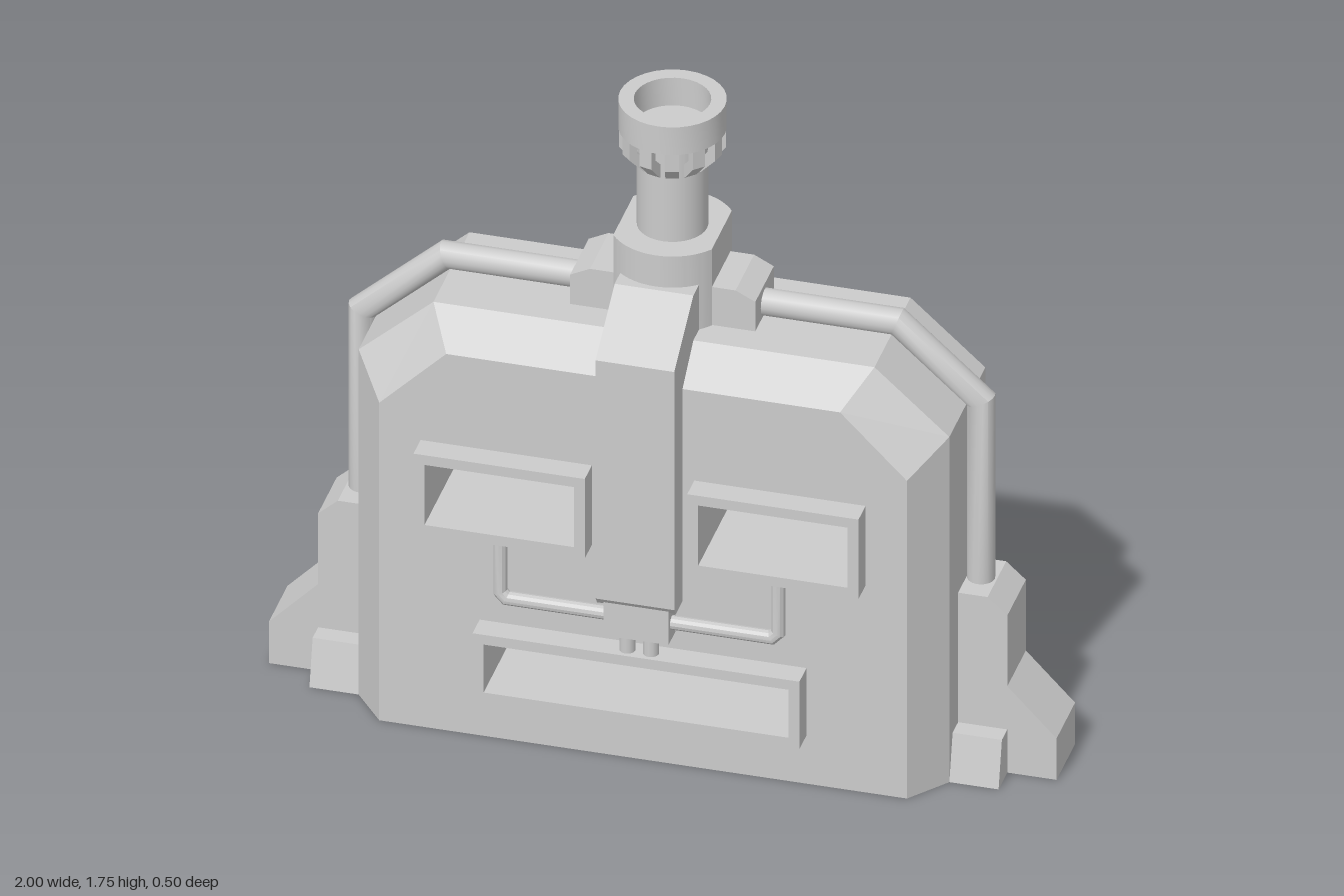
import * as THREE from 'three';
import { toCreasedNormals } from 'three/addons/utils/BufferGeometryUtils.js';

const flat = new THREE.MeshStandardMaterial({ color: 0xcccccc, flatShading: true });
const smooth = new THREE.MeshStandardMaterial({ color: 0xcccccc });
const shell = new THREE.MeshStandardMaterial({ color: 0xcccccc, flatShading: true, side: THREE.DoubleSide });

function add(parent, name, geometry, material = flat) {
  const mesh = new THREE.Mesh(geometry, material);
  mesh.name = name;
  parent.add(mesh);
  return mesh;
}

const shapeOf = (pts) => new THREE.Shape(pts.map(([x, y]) => new THREE.Vector2(x, y)));
const rect = (x0, y0, x1, y1) => [[x0, y0], [x1, y0], [x1, y1], [x0, y1]];

// Front outline (x, y) pushed from z0 to z1
const extrudeZ = (shape, z0, z1) =>
  new THREE.ExtrudeGeometry(shape, { depth: z1 - z0, bevelEnabled: false, curveSegments: 16 }).translate(0, 0, z0);

// Side outline (z, y) pushed from x0 to x1
const extrudeX = (pts, x0, x1) =>
  new THREE.ExtrudeGeometry(shapeOf(pts), { depth: x1 - x0, bevelEnabled: false }).rotateY(-Math.PI / 2).translate(x1, 0, 0);

// Pipe with mitred bends along a path in the x-y plane
function mitredPipe(path, radius, z, sides = 16) {
  const P = path.map(([x, y]) => new THREE.Vector2(x, y));
  const pos = [], index = [];
  P.forEach((p, i) => {
    const a = i > 0 ? p.clone().sub(P[i - 1]).normalize() : null;
    const b = i < P.length - 1 ? P[i + 1].clone().sub(p).normalize() : null;
    const t = (a && b ? a.clone().add(b) : a || b).clone().normalize();
    const stretch = 1 / t.dot(a || b);
    for (let k = 0; k <= sides; k++) {
      const ang = (k / sides) * Math.PI * 2;
      const c = Math.cos(ang) * radius * stretch;
      pos.push(p.x - t.y * c, p.y + t.x * c, z + Math.sin(ang) * radius);
      if (i && k) {
        const q = i * (sides + 1) + k, r = q - sides - 1;
        index.push(r - 1, q, r, r - 1, q - 1, q);
      }
    }
  });
  const g = new THREE.BufferGeometry();
  g.setAttribute('position', new THREE.Float32BufferAttribute(pos, 3));
  // ring runs normal -> +z, so the winding is reversed to face outward
  g.setIndex(index.reverse());
  return toCreasedNormals(g, 0.5);
}

// Half outline mirrored to a closed counter-clockwise loop
const mirrorLoop = (half) => [...half, ...half.map(([x, y]) => [-x, y]).reverse()];

// Recesses: [x0, y0, x1, y1] of each outer frame
const frames = { rightEye: [-0.565, 0.6, -0.13, 0.83], leftEye: [0.13, 0.6, 0.565, 0.83], mouth: [-0.415, 0.14, 0.415, 0.335] };
const inset = ([x0, y0, x1, y1], d = 0.028) => rect(x0 + d, y0 + d, x1 - d, y1 - d);

function buildBody(root) {
  const body = new THREE.Group();
  body.name = 'body';
  root.add(body);
  const outer = mirrorLoop([[0.75, 0], [0.75, 1], [0.56, 1.17]]);
  const inner = mirrorLoop([[0.67, 0], [0.67, 0.92], [0.5, 1.09]]);
  const back = extrudeZ(shapeOf(outer), -0.25, -0.21);
  add(body, 'backPlate', back);

  // Side walls and bevel lofted through three outlines
  const rings = [[outer, -0.21], [outer, 0.08], [inner, 0.18]];
  const pos = [];
  for (let r = 0; r < 2; r++) {
    const [A, za] = rings[r], [B, zb] = rings[r + 1];
    A.forEach((_, i) => {
      const j = (i + 1) % A.length;
      const a = [...A[i], za], b = [...A[j], za], c = [...B[j], zb], d = [...B[i], zb];
      pos.push(...a, ...b, ...c, ...a, ...c, ...d);
    });
  }
  const walls = new THREE.BufferGeometry();
  walls.setAttribute('position', new THREE.Float32BufferAttribute(pos, 3));
  walls.computeVertexNormals();
  add(body, 'bevelledWalls', walls);

  // Front face with openings, and a deep frame around each opening
  const face = shapeOf(inner);
  for (const [name, f] of Object.entries(frames)) {
    const hole = inset(f).map(([x, y]) => new THREE.Vector2(x, y));
    face.holes.push(new THREE.Path(hole));
    const frame = shapeOf(rect(...f));
    frame.holes.push(new THREE.Path(hole));
    add(body, name + 'Frame', extrudeZ(frame, -0.2, 0.245));
  }
  add(body, 'frontFace', new THREE.ShapeGeometry(face).translate(0, 0, 0.18));
}

function buildSide(root, s) {
  const side = new THREE.Group();
  side.name = s > 0 ? 'leftSide' : 'rightSide';
  side.scale.x = s;
  root.add(side);
  // Stepped bracket and wedge foot
  add(side, 'bracket', extrudeZ(shapeOf([[0.74, 0], [1, 0], [1, 0.12], [0.875, 0.25], [0.875, 0.455], [0.825, 0.5], [0.74, 0.5]]), -0.17, 0));
  add(side, 'foot', extrudeX([[-0.25, 0], [0.08, 0], [0.05, 0.125], [-0.22, 0.125]], 0.74, 0.875));
  // Outer pipe and its clamp
  add(side, 'outerPipe', mitredPipe([[0.785, 0.45], [0.785, 1.015], [0.573, 1.205], [0.2, 1.205]], 0.035, -0.085), smooth);
  add(side, 'pipeClamp', extrudeZ(shapeOf([[0.1, 1.16], [0.235, 1.16], [0.235, 1.255], [0.185, 1.28], [0.1, 1.28]]), -0.17, 0));
  // Thin wire below the eye, and short wire to the mouth
  add(side, 'eyeWire', mitredPipe([[0.353, 0.62], [0.353, 0.45], [0.337, 0.433], [0.06, 0.433]], 0.018, 0.215, 12), smooth);
  add(side, 'mouthWire', new THREE.CylinderGeometry(0.02, 0.02, 0.1, 12).translate(0.03, 0.365, 0.215), smooth);
}

function buildStraps(root) {
  add(root, 'frontStrap', extrudeX([[0.1, 0.475], [0.24, 0.475], [0.255, 0.495], [0.255, 1.185], [0.08, 1.3], [0, 1.3], [0, 1.1], [0.1, 1.05]], -0.1, 0.1));
  add(root, 'strapTip', new THREE.BoxGeometry(0.165, 0.11, 0.08).translate(0, 0.44, 0.205));
  add(root, 'backTab', new THREE.BoxGeometry(0.2, 0.2, 0.07).translate(0, 1.2, -0.215));
}

function buildChimney(root) {
  const chimney = new THREE.Group();
  chimney.name = 'chimney';
  chimney.position.z = -0.09;
  root.add(chimney);

  // Round base cut flat on both sides
  const R = 0.155, a = Math.acos(0.125 / R);
  const base = new THREE.Shape();
  base.absarc(0, 0, R, a, Math.PI - a, false);
  base.absarc(0, 0, R, Math.PI + a, -a, false);
  const baseGeo = new THREE.ExtrudeGeometry(base, { depth: 0.24, bevelEnabled: false, curveSegments: 16 });
  add(chimney, 'base', toCreasedNormals(baseGeo.rotateX(-Math.PI / 2).translate(0, 1.15, 0), 0.5), smooth);

  // Stem and hollow collar
  add(chimney, 'stem', new THREE.CylinderGeometry(0.088, 0.088, 0.3, 32).translate(0, 1.52, 0), smooth);
  const collar = [[0, 1.66], [0.095, 1.66], [0.095, 1.75], [0.133, 1.75], [0.133, 1.67], [0.085, 1.67]];
  const collarGeo = new THREE.LatheGeometry(collar.map(([r, y]) => new THREE.Vector2(r, y)).reverse(), 32);
  add(chimney, 'collar', toCreasedNormals(collarGeo, 0.5), new THREE.MeshStandardMaterial({ color: 0xcccccc, side: THREE.DoubleSide }));

  // Ring of supports under the collar
  for (let i = 0; i < 12; i++) {
    const fin = extrudeX([[0.08, 1.575], [0.09, 1.575], [0.131, 1.62], [0.131, 1.675], [0.11, 1.675], [0.11, 1.635], [0.08, 1.605]], -0.017, 0.017);
    add(chimney, 'collarSupport', fin).rotation.y = ((i + 0.5) / 12) * Math.PI * 2;
  }
}

export function createModel() {
  const root = new THREE.Group();
  root.name = 'model';
  buildBody(root);
  buildSide(root, 1);
  buildSide(root, -1);
  buildStraps(root);
  buildChimney(root);
  return root;
}
